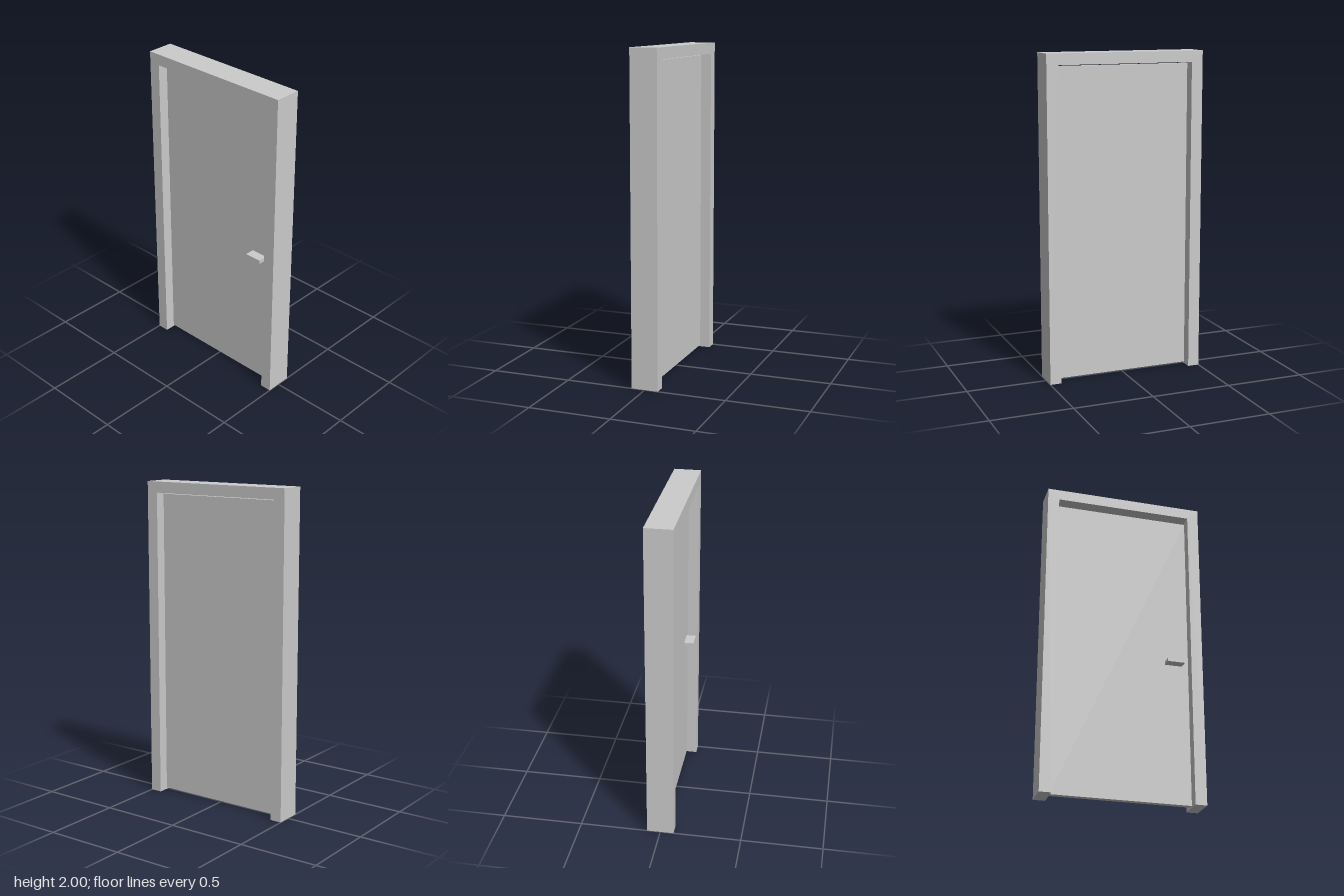
import * as THREE from 'three';

const material = new THREE.MeshStandardMaterial({ color: 0xcccccc });

// Box given by its min and max corners
function block(name, [x0, y0, z0], [x1, y1, z1]) {
  const mesh = new THREE.Mesh(new THREE.BoxGeometry(x1 - x0, y1 - y0, z1 - z0), material);
  mesh.name = name;
  mesh.position.set((x0 + x1) / 2, (y0 + y1) / 2, (z0 + z1) / 2);
  return mesh;
}

export function createModel() {
  const group = new THREE.Group();
  group.name = 'door';
  const W = 0.5, H = 2, D = 0.083;          // outer half width, height, half depth
  const openX = 0.428, openY = 1.932;       // frame opening
  const leaf = 0.018;                       // half thickness of the leaf

  // Frame: one U-shaped extrusion, two jambs joined by the head
  const outline = [[-W, 0], [-openX, 0], [-openX, openY], [openX, openY], [openX, 0], [W, 0], [W, H], [-W, H]];
  const shape = new THREE.Shape(outline.map(([x, y]) => new THREE.Vector2(x, y)));
  const frameGeometry = new THREE.ExtrudeGeometry(shape, { depth: 2 * D, bevelEnabled: false });
  const frame = new THREE.Mesh(frameGeometry.translate(0, 0, -D), material);
  frame.name = 'doorFrame';
  group.add(frame);

  // Leaf with a small gap above and below
  group.add(block('doorLeaf', [-openX, 0.01, -leaf], [openX, 1.922, leaf]));

  // Flat lever handle, front side only
  group.add(block('handle', [0.28, 0.897, leaf], [0.388, 0.92, 0.078]));
  return group;
}
